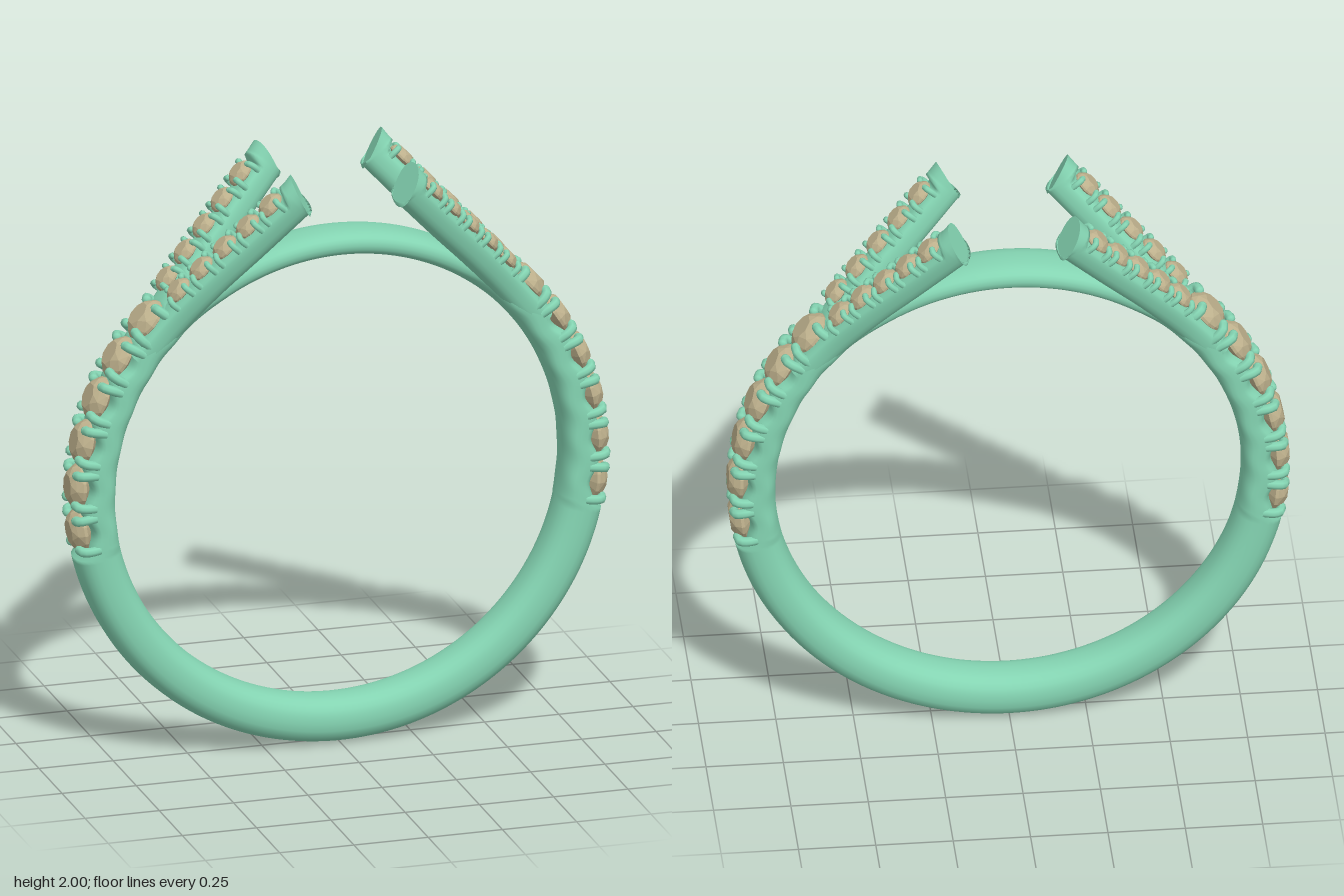
import * as THREE from 'three';
import { ConvexGeometry } from 'three/addons/geometries/ConvexGeometry.js';
import { mergeGeometries } from 'three/addons/utils/BufferGeometryUtils.js';

const V = (x, y, z = 0) => new THREE.Vector3(x, y, z);
const RAD = Math.PI / 180;
const CY = 0.907, R_IN = 0.753, R_OUT = 0.907;   // band centre height and radii
const STEP = 9.9, FIRST = -7, BIG = 6;           // large stones: angular spacing, first angle, count
const SIDES = 24;

const metal = new THREE.MeshStandardMaterial({ color: 0x84d4b2, side: THREE.DoubleSide });
const gem = new THREE.MeshStandardMaterial({ color: 0xbdb08c, flatShading: true });

// Rounded section swept through frames { p, N, B, top, bot, hb, e }
function sweep(frames, closed) {
  const pos = [], idx = [], n = frames.length;
  const section = (f) => {
    for (let j = 0; j < SIDES; j++) {
      const a = (j / SIDES) * Math.PI * 2, c = Math.cos(a), s = Math.sin(a);
      const e = c > 0 ? f.e : 2.4;
      const u = Math.sign(c) * Math.abs(c) ** (2 / e) * (c > 0 ? f.top : f.bot);
      const w = Math.sign(s) * Math.abs(s) ** (2 / e) * f.hb;
      pos.push(...f.p.clone().addScaledVector(f.N, u).addScaledVector(f.B, w).toArray());
    }
  };
  frames.forEach(section);
  for (let i = 0; i < (closed ? n : n - 1); i++) {
    for (let j = 0; j < SIDES; j++) {
      const k = (j + 1) % SIDES, a = i * SIDES, b = ((i + 1) % n) * SIDES;
      idx.push(a + j, a + k, b + j, a + k, b + k, b + j);
    }
  }
  if (!closed) {
    // flat cap on the far end, with its own corners
    const base = pos.length / 3, f = frames[n - 1];
    section(f);
    pos.push(...f.p.toArray());
    for (let j = 0; j < SIDES; j++) idx.push(base + SIDES, base + j, base + (j + 1) % SIDES);
  }
  const g = new THREE.BufferGeometry();
  g.setAttribute('position', new THREE.Float32BufferAttribute(pos, 3));
  g.setIndex(idx);
  g.computeVertexNormals();
  return g;
}

// Brilliant-cut stone: local y is outward, girdle at y = 0
function stoneGeometry() {
  const pts = [V(0, -0.05, 0)];
  const ring = (count, r, y, turn) => {
    for (let i = 0; i < count; i++) {
      const a = ((i + turn) / count) * Math.PI * 2;
      pts.push(V(r * Math.cos(a), y, r * Math.sin(a)));
    }
  };
  ring(8, 0.042, 0.038, 0.5);
  ring(8, 0.062, 0.024, 0);
  ring(16, 0.074, 0.004, 0);
  ring(16, 0.074, -0.006, 0);
  return new ConvexGeometry(pts);
}

// Four claws that rise at the sides and bend in over the stone
function clawGeometry() {
  const parts = [];
  for (const sx of [-1, 1]) for (const sz of [-1, 1]) {
    const curve = new THREE.CatmullRomCurve3([
      V(sx * 0.055, -0.04, sz * 0.074), V(sx * 0.055, -0.005, sz * 0.076),
      V(sx * 0.053, 0.016, sz * 0.068), V(sx * 0.05, 0.021, sz * 0.046)]);
    parts.push(new THREE.TubeGeometry(curve, 7, 0.016, 8));
    parts.push(new THREE.SphereGeometry(0.016, 8, 6).translate(sx * 0.05, 0.021, sz * 0.046));
  }
  return mergeGeometries(parts);
}

export function createModel() {
  const model = new THREE.Group();
  model.name = 'splitShankRing';
  const add = (geo, mat, name, parent = model) => {
    const m = new THREE.Mesh(geo, mat);
    m.name = name;
    parent.add(m);
    return m;
  };
  const stoneGeo = stoneGeometry(), clawGeo = clawGeometry();

  // Stone with claws, placed in a frame (T along the band, N outward, B across)
  const setStone = (p, T, N, B, scale, name) => {
    const g = new THREE.Group();
    g.name = name;
    add(stoneGeo, gem, 'stone', g);
    add(clawGeo, metal, 'claws', g);
    g.quaternion.setFromRotationMatrix(new THREE.Matrix4().makeBasis(T, N, B.clone().negate().multiplyScalar(-1)));
    g.position.copy(p);
    g.scale.setScalar(scale);
    model.add(g);
  };
  const ringFrame = (a) => {
    const N = V(Math.cos(a), Math.sin(a)), T = V(-N.y, N.x);
    return { N, T, B: T.clone().cross(N) };
  };

  // Band: full at the bottom, scalloped seats at the sides, thin bridge at the top
  const seatLow = FIRST - STEP / 2, seatHigh = FIRST + STEP * (BIG - 0.5);
  const outer = (e) => {
    if (e < seatLow) return R_OUT;
    const seat = 0.845 + 0.0135 * (1 - Math.cos((e - FIRST) / STEP * Math.PI * 2));
    if (e < seatHigh) return seat;
    return THREE.MathUtils.lerp(0.872, 0.838, THREE.MathUtils.smoothstep(e, seatHigh, 60));
  };
  const band = [];
  for (let i = 0; i < 400; i++) {
    const a = (i / 400) * Math.PI * 2, f = ringFrame(a);
    const e = Math.asin(Math.sin(a)) / RAD, r = outer(e), h = (r - R_IN) / 2;
    const seat = e > seatLow && e < seatHigh;
    band.push({ ...f, p: V(0, CY).addScaledVector(f.N, R_IN + h), top: h, bot: h, hb: 0.0875, e: seat ? 3.6 : 2.4 });
  }
  add(sweep(band, true), metal, 'band');

  for (const sx of [-1, 1]) {
    // Large stones up each side of the band
    for (let i = 0; i < BIG; i++) {
      const e = (FIRST + STEP * i) * RAD, f = ringFrame(sx > 0 ? e : Math.PI - e);
      setStone(V(0, CY).addScaledVector(f.N, 0.869), f.T, f.N, f.B, 1, 'largeStone');
    }

    // Two arms fork off each side
    for (const sz of [-1, 1]) {
      const curve = new THREE.CatmullRomCurve3([
        [0.68, 1.38, 0.028], [0.58, 1.5, 0.043], [0.46, 1.635, 0.082], [0.325, 1.775, 0.13], [0.178, 1.932, 0.185],
      ].map(([x, y, z]) => V(sx * x, y, sz * z)));
      const length = curve.getLength();
      const frameAt = (u) => {
        const T = curve.getTangentAt(u), N = V(T.y * sx, -T.x * sx).normalize();
        return { p: curve.getPointAt(u), T, N, B: T.clone().cross(N) };
      };
      const frames = [], COUNT = 80;
      for (let i = 0; i <= COUNT; i++) {
        const u = i / COUNT, f = frameAt(u), left = (1 - u) * length;
        const top = left < 0.036 ? 0.066 : 0.036;
        if (i === COUNT) f.N = V(sx * 0.44, 0.9);   // slanted end cut
        frames.push({ ...f, top: i === COUNT ? 0.075 : top, bot: i === COUNT ? 0.074 : 0.062,
          hb: 0.056, e: left < 0.036 ? 2.2 : 3 });
      }
      add(sweep(frames, false), metal, 'forkArm');

      // Small stones along the arm
      for (let i = 0; i < 5; i++) {
        const f = frameAt(1 - (0.09 + 0.104 * i) / length);
        setStone(f.p.addScaledVector(f.N, 0.046), f.T, f.N, f.B, 0.64, 'smallStone');
      }
    }
  }
  return model;
}
